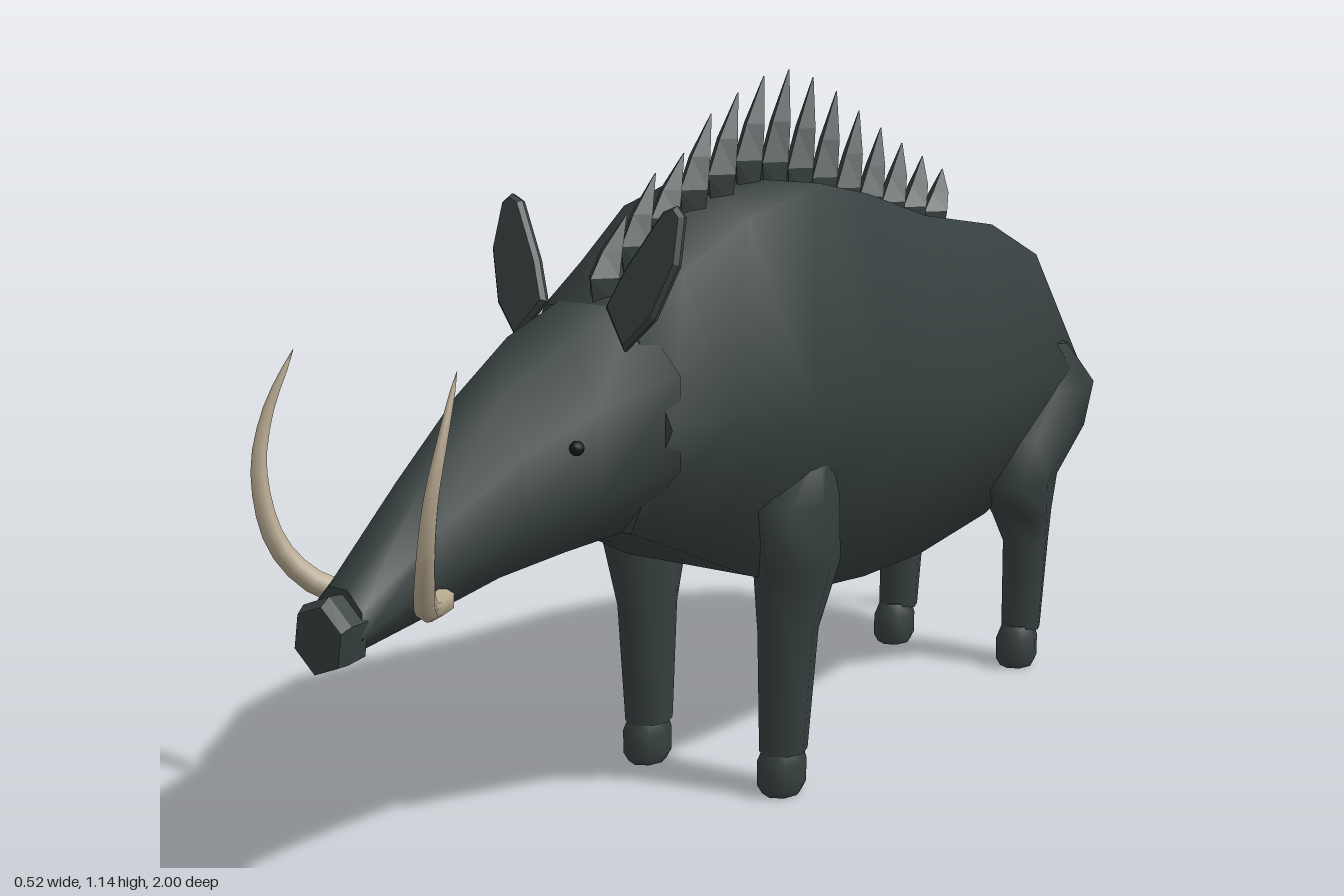
import * as THREE from 'three';

// Closed skin through rings [x, y, z, halfA, halfB] of n sides.
// upright: rings lie in XY and run toward +z; otherwise they lie in XZ and run downward.
function loft(rings, n, { upright = false, flat = false, turn = 0 } = {}) {
  const pos = [], idx = [];
  const point = ([x, y, z, a, b], j) => {
    const t = (j / n) * Math.PI * 2 + turn;
    const u = a * Math.cos(t), v = b * Math.sin(t);
    return upright ? [x + u, y + v, z] : [x + u, y, z + v];
  };
  for (const r of rings) for (let j = 0; j < n; j++) pos.push(...point(r, j));
  for (let i = 0; i < rings.length - 1; i++) {
    for (let j = 0; j < n; j++) {
      const a = i * n + j, b = i * n + (j + 1) % n;
      idx.push(a, b, a + n, b, b + n, a + n);
    }
  }
  // End caps with their own corners, so the rims stay sharp
  [rings[0], rings[rings.length - 1]].forEach((r, end) => {
    const c = pos.length / 3;
    pos.push(r[0], r[1], r[2]);
    for (let j = 0; j < n; j++) pos.push(...point(r, j));
    for (let j = 0; j < n; j++) {
      const p = c + 1 + j, q = c + 1 + (j + 1) % n;
      idx.push(c, end ? p : q, end ? q : p);
    }
  });
  let g = new THREE.BufferGeometry();
  g.setAttribute('position', new THREE.Float32BufferAttribute(pos, 3));
  g.setIndex(idx);
  if (flat) g = g.toNonIndexed();
  g.computeVertexNormals();
  return g;
}

// Tube along points whose radius follows a function of 0..1
function taperTube(points, radius, segments = 16, sides = 6) {
  const curve = new THREE.CatmullRomCurve3(points.map(p => new THREE.Vector3(...p)));
  const g = new THREE.TubeGeometry(curve, segments, 1, sides);
  const p = g.attributes.position, v = new THREE.Vector3();
  for (let i = 0; i < p.count; i++) {
    const t = Math.floor(i / (sides + 1)) / segments;
    const c = curve.getPointAt(t);
    v.fromBufferAttribute(p, i).sub(c).multiplyScalar(radius(t)).add(c);
    p.setXYZ(i, v.x, v.y, v.z);
  }
  g.computeVertexNormals();
  return g;
}

// Linear lookup in a list of [key, value] with falling keys
function lookup(table, k) {
  for (let i = 0; i < table.length - 1; i++) {
    const [k0, v0] = table[i], [k1, v1] = table[i + 1];
    if (k >= k1) return v0 + (v1 - v0) * (k0 - k) / (k0 - k1);
  }
  return table[table.length - 1][1];
}

export function createModel() {
  const group = new THREE.Group();
  const material = (name, color) => Object.assign(new THREE.MeshStandardMaterial({ color }), { name });
  const hide = material('dark hide', 0x363f3f);
  const ivory = material('ivory', 0xb5a78f);
  const black = material('eye black', 0x161a1c);
  const add = (name, geometry, mat = hide) => {
    const m = new THREE.Mesh(geometry, mat);
    m.name = name;
    group.add(m);
    return m;
  };

  // Ring from top height, bottom height and half width; k = sine of the topmost corner
  const section = k => ([z, top, bottom, w]) => [0, (top + bottom) / 2, z, w, (top - bottom) / 2 / k];

  // Barrel of the body, hexagonal in section: [z, top, bottom, half width]
  const body = [
    [-0.9, 0.58, 0.44, 0.1], [-0.875, 0.68, 0.4, 0.16], [-0.82, 0.77, 0.37, 0.195],
    [-0.6, 0.85, 0.315, 0.237], [-0.35, 0.89, 0.295, 0.25], [-0.15, 0.945, 0.3, 0.26],
    [0, 0.975, 0.315, 0.26], [0.18, 0.94, 0.375, 0.238], [0.32, 0.87, 0.44, 0.19],
    [0.43, 0.82, 0.49, 0.155],
  ];
  add('body', loft(body.map(section(Math.sin(Math.PI / 3))), 6, { upright: true }));

  // Head, tapering into the snout
  const head = [
    [0.4, 0.83, 0.49, 0.16], [0.55, 0.79, 0.485, 0.13], [0.68, 0.725, 0.475, 0.095],
    [0.82, 0.63, 0.45, 0.062], [0.96, 0.52, 0.43, 0.045],
  ];
  add('head', loft(head.map(section(Math.cos(Math.PI / 8))), 8, { upright: true, turn: Math.PI / 8 }));
  add('snoutDisc', loft([[0, 0.463, 0.95, 0.046, 0.05], [0, 0.463, 0.985, 0.05, 0.054], [0, 0.458, 1, 0.045, 0.048]],
    6, { upright: true, flat: true, turn: 0.35 }));

  for (const s of [1, -1]) {
    const side = s > 0 ? 'left' : 'right';

    // Front leg with shoulder
    add(side + 'FrontLeg', loft([
      [s * 0.185, 0.57, 0.08, 0.015, 0.02], [s * 0.168, 0.49, 0.12, 0.05, 0.1],
      [s * 0.15, 0.38, 0.09, 0.062, 0.085], [s * 0.14, 0.27, 0.1, 0.046, 0.056],
      [s * 0.135, 0.07, 0.105, 0.038, 0.043],
    ], 8));

    // Rear leg with thigh and hock
    add(side + 'RearLeg', loft([
      [s * 0.17, 0.62, -0.75, 0.03, 0.025], [s * 0.15, 0.53, -0.79, 0.073, 0.11],
      [s * 0.145, 0.45, -0.74, 0.075, 0.14], [s * 0.14, 0.37, -0.675, 0.066, 0.11],
      [s * 0.137, 0.3, -0.71, 0.052, 0.07], [s * 0.135, 0.24, -0.732, 0.042, 0.05],
      [s * 0.135, 0.07, -0.72, 0.037, 0.04],
    ], 8));

    // Hooves
    for (const [name, z] of [['FrontHoof', 0.11], ['RearHoof', -0.705]]) {
      add(side + name, loft([
        [s * 0.135, 0.08, z - 0.003, 0.03, 0.034], [s * 0.135, 0.055, z, 0.038, 0.045],
        [s * 0.135, 0.015, z, 0.038, 0.045], [s * 0.135, 0, z, 0.03, 0.036],
      ], 8));
    }

    // Ear: thin leaf leaning back
    const outline = [[0.1, 0], [0.055, 0.06], [0.08, 0.12], [0.13, 0.205], [0.152, 0.215],
      [0.168, 0.2], [0.172, 0.13], [0.145, 0.05]];
    const ear = new THREE.ExtrudeGeometry(
      new THREE.Shape(outline.map(([x, y]) => new THREE.Vector2(s * x, y))),
      { depth: 0.006, bevelThickness: 0.007, bevelSize: 0.006, bevelOffset: -0.006, bevelSegments: 1 });
    ear.rotateX(-0.28).translate(0, 0.77, 0.465);
    add(side + 'Ear', ear);

    // Tusk curling up and back
    add(side + 'Tusk', taperTube([
      [s * 0.045, 0.475, 0.81], [s * 0.09, 0.49, 0.89], [s * 0.13, 0.55, 0.935],
      [s * 0.152, 0.65, 0.945], [s * 0.155, 0.73, 0.922], [s * 0.145, 0.81, 0.88],
    ], t => 0.019 * Math.pow(1 - t, 0.6) + 0.0005), ivory);

    // Eye
    const eye = new THREE.SphereGeometry(0.011, 8, 6);
    eye.translate(s * 0.114, 0.655, 0.6);
    add(side + 'Eye', eye, black);
  }

  // Mane of blade-like bristles down the spine
  const spine = body.map(([z, top]) => [z, top]).reverse();
  const tips = [[0.35, 0.93], [0.27, 1.0], [0.18, 1.03], [0.09, 1.1], [0.01, 1.12], [-0.08, 1.15],
    [-0.22, 1.12], [-0.36, 1.05], [-0.5, 0.99], [-0.63, 0.94]];
  for (let i = 0; i < 14; i++) {
    const z = 0.385 - i * 0.0755;
    const base = lookup(spine, z), tipZ = z - 0.055 + i * 0.002;
    const tip = lookup(tips, tipZ), h = tip - base;
    add('bristle' + (i + 1), loft([
      [0, tip, tipZ, 0.001, 0.001], [0, base + h * 0.55, z - 0.018, 0.02, 0.022],
      [0, base + h * 0.2, z, 0.028, 0.034], [0, base - 0.02, z + 0.004, 0.024, 0.024],
    ], 4, { flat: true }));
  }

  // Tail and its tuft
  add('tail', taperTube([[0, 0.66, -0.875], [0, 0.62, -0.91], [0, 0.52, -0.947], [0, 0.4, -0.968]],
    t => 0.02 - 0.008 * t, 8));
  add('tailTuft', loft([
    [0, 0.44, -0.962, 0.011, 0.011], [0, 0.39, -0.967, 0.021, 0.024],
    [0, 0.34, -0.972, 0.025, 0.027], [0, 0.295, -0.985, 0.008, 0.01],
  ], 6));

  return group;
}
